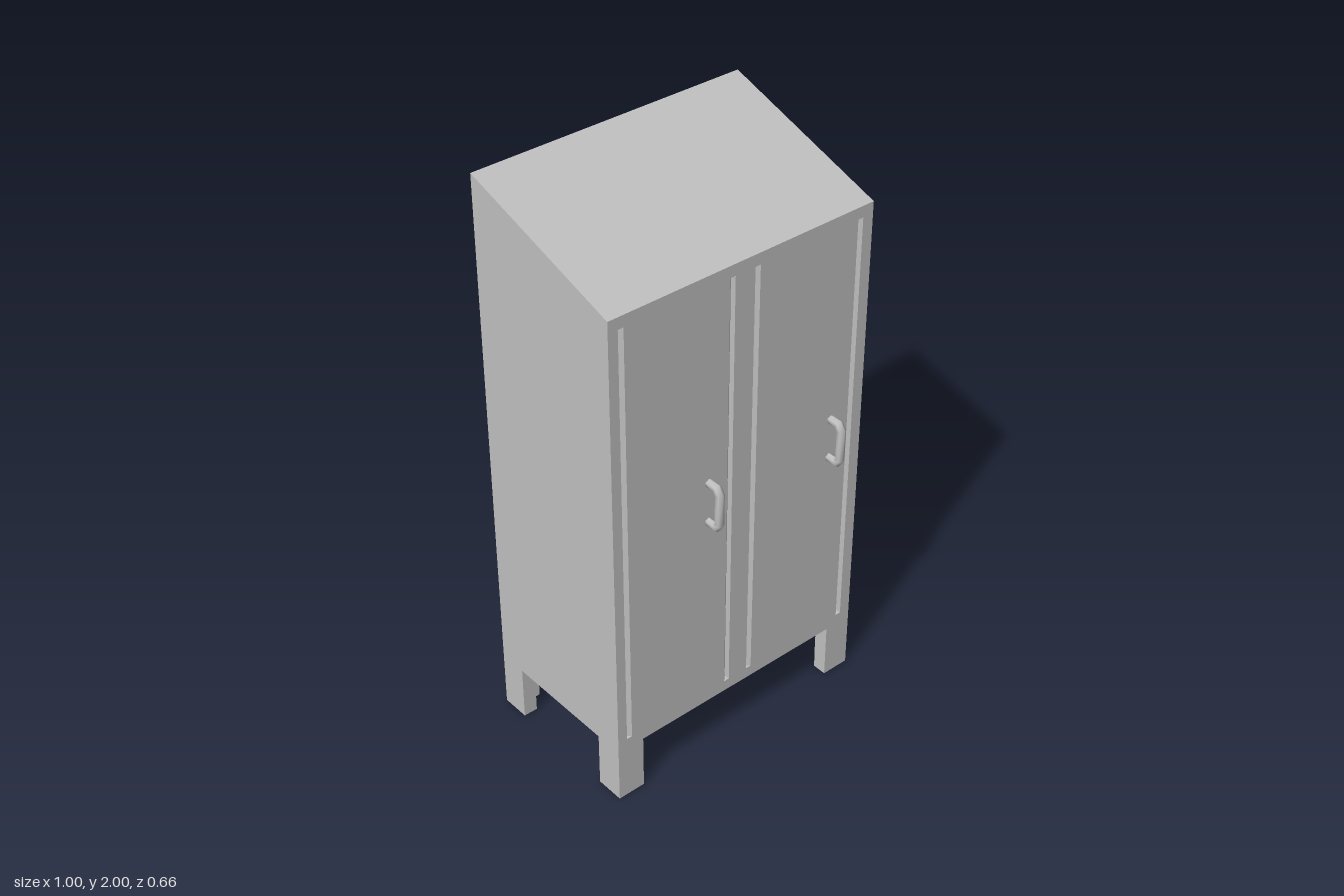
import * as THREE from 'three';

const FRONT = 0.267, BACK = -0.333, GROOVE = 0.02;

// Extrude an outline of [x, z] points upward from y0 by height
function extrudeUp(points, y0, height) {
  const shape = new THREE.Shape(points.map(([x, z]) => new THREE.Vector2(x, -z)));
  const geo = new THREE.ExtrudeGeometry(shape, { depth: height, bevelEnabled: false });
  return geo.rotateX(-Math.PI / 2).translate(0, y0, 0);
}

function rectPath(PathType, x0, x1, y0, y1) {
  return new PathType([[x0, y0], [x1, y0], [x1, y1], [x0, y1]].map(([x, y]) => new THREE.Vector2(x, y)));
}

// Six-sided bar swept along a bent path with mitred corners
function handleGeometry() {
  const path = [[FRONT, 1.08], [0.303, 1.08], [0.316, 1.062], [0.316, 0.953], [0.303, 0.935], [FRONT, 0.935]]
    .map(([z, y]) => new THREE.Vector2(z, y));
  const sides = 6, r = 0.015;
  const geo = new THREE.PlaneGeometry(1, 1, sides, path.length - 1);
  const pos = geo.attributes.position;
  path.forEach((p, i) => {
    const before = p.clone().sub(path[Math.max(i - 1, 0)]).normalize();
    const after = path[Math.min(i + 1, path.length - 1)].clone().sub(p).normalize();
    const dir = before.clone().add(after).normalize();
    const mitre = 1 / dir.dot(i ? before : after);
    for (let j = 0; j <= sides; j++) {
      const a = Math.PI + (j / sides) * Math.PI * 2;
      const out = Math.cos(a) * r * mitre;
      // outward normal of the path in the z-y plane is (-dir.y, dir.x)
      pos.setXYZ(i * (sides + 1) + j, Math.sin(a) * r, p.y + dir.x * out, p.x - dir.y * out);
    }
  });
  geo.computeVertexNormals();
  return geo;
}

export function createModel() {
  const group = new THREE.Group();
  group.name = 'cabinet';
  const steel = new THREE.MeshStandardMaterial({ color: 0xc0c0c0, side: THREE.DoubleSide });
  steel.name = 'grey steel';
  const add = (name, geo) => {
    const mesh = new THREE.Mesh(geo, steel);
    mesh.name = name;
    group.add(mesh);
    return mesh;
  };

  // Carcass with a roof sloping down to the front
  const inner = FRONT - GROOVE;
  const innerTop = 1.8 + 0.2 * GROOVE / (FRONT - BACK);
  const profile = new THREE.Shape([[-inner, 0.2], [-BACK, 0.2], [-BACK, 2], [-inner, innerTop]]
    .map(([x, y]) => new THREE.Vector2(x, y)));
  add('carcass', new THREE.ExtrudeGeometry(profile, { depth: 1, bevelEnabled: false })
    .translate(0, 0, -0.5).rotateY(Math.PI / 2));

  // Front plate with a slot along both sides of each door
  const slots = [[-0.465, 1], [-0.04, -1], [0.035, 1], [0.46, -1]];
  const front = rectPath(THREE.Shape, -0.5, 0.5, 0.2, 1.8);
  for (const [x, s] of slots) {
    front.holes.push(rectPath(THREE.Path, Math.min(x, x + s * 0.02), Math.max(x, x + s * 0.02), 0.24, 1.76));
  }
  const plate = new THREE.ExtrudeGeometry(front, { depth: GROOVE, bevelEnabled: false });
  const pos = plate.attributes.position;
  for (let i = 0; i < pos.count; i++) {
    if (pos.getY(i) > 1.79 && pos.getZ(i) < 0.001) pos.setY(i, innerTop);
  }
  plate.translate(0, 0, inner);
  plate.computeVertexNormals();
  add('doorFront', plate);

  // Sloping groove floors rising toward each door
  for (const [x, s] of slots) {
    add('doorGroove', extrudeUp([[x, inner], [x + s * 0.02, inner], [x + s * 0.02, FRONT]], 0.24, 1.52));
  }

  // Handles
  for (const x of [-0.133, 0.367]) add('handle', handleGeometry()).position.x = x;

  // Angle-section legs at the four corners
  for (const sx of [-1, 1]) {
    for (const [z, sz] of [[FRONT, -1], [BACK, 1]]) {
      const outline = [[0, 0], [0.1, 0], [0.1, 0.05], [0.05, 0.05], [0.05, 0.1], [0, 0.1]]
        .map(([a, b]) => [sx * (0.5 - a), z + sz * b]);
      add('leg', extrudeUp(outline, 0, 0.2));
    }
  }
  return group;
}
